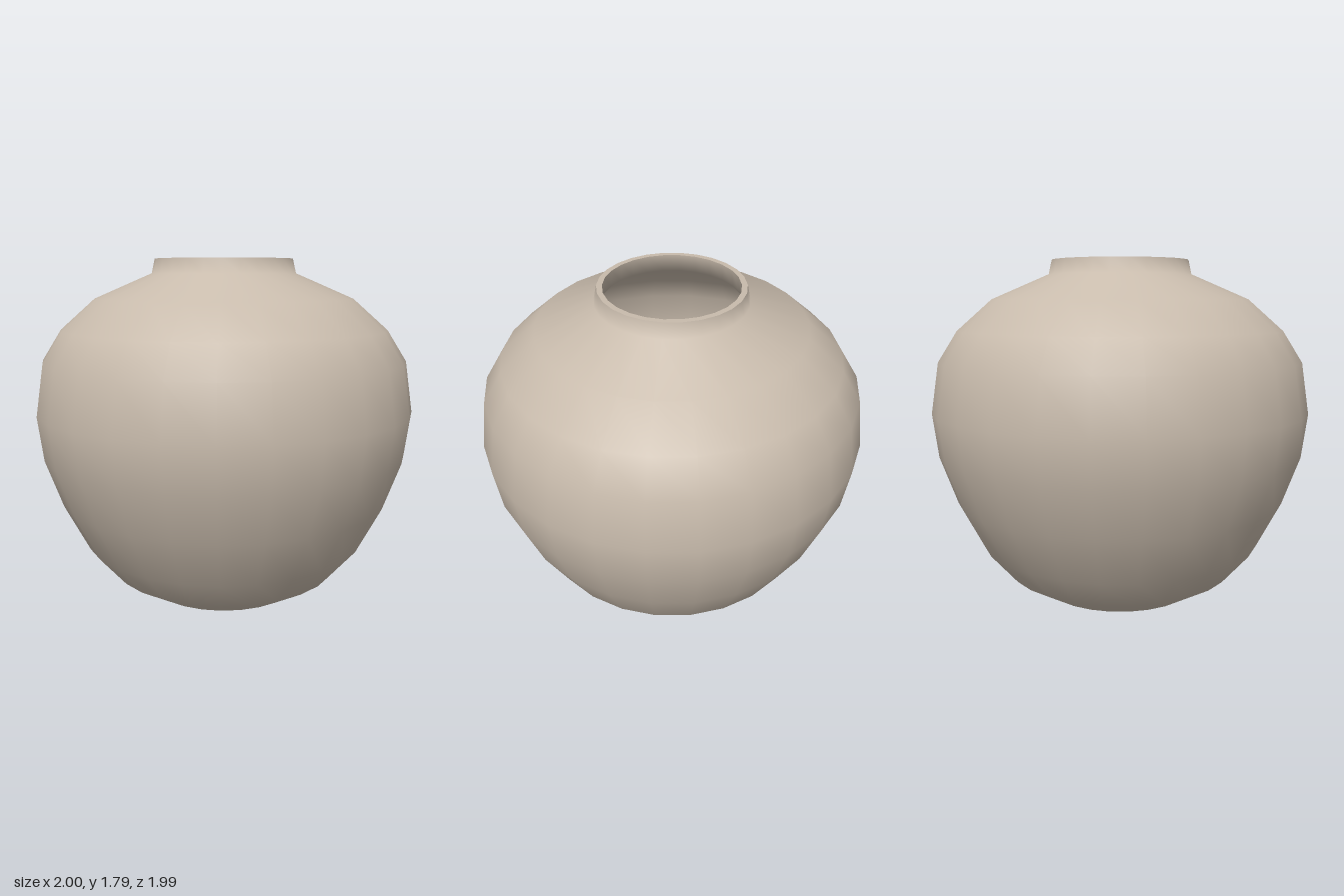
import * as THREE from 'three';

const SIDES = 26;

export function createModel() {
  const model = new THREE.Group();
  model.name = 'vase';
  const clay = new THREE.MeshStandardMaterial({ color: 0xc8bbac });
  clay.name = 'beige clay';

  // Revolves a profile around y, with a corner on the x axis
  function turn(name, profile) {
    const points = profile.map(([r, y]) => new THREE.Vector2(r, y));
    const mesh = new THREE.Mesh(new THREE.LatheGeometry(points, SIDES, Math.PI / 2), clay);
    mesh.name = name;
    model.add(mesh);
  }

  // Flat underside
  turn('base', [[0, 0], [0.42, 0]]);

  // Round belly, shoulder and short neck
  turn('outerWall', [
    [0.42, 0], [0.61, 0.11], [0.75, 0.27], [0.88, 0.52], [0.97, 0.77], [1, 1],
    [0.96, 1.265], [0.86, 1.425], [0.68, 1.585], [0.38, 1.715], [0.363, 1.79],
  ]);

  // Flat lip around the opening
  turn('rim', [[0.363, 1.79], [0.335, 1.79]]);

  // Hollow inside, from the lip down to the floor
  turn('innerWall', [
    [0.335, 1.79], [0.345, 1.7], [0.66, 1.555], [0.835, 1.4], [0.93, 1.25],
    [0.97, 1], [0.94, 0.775], [0.85, 0.535], [0.725, 0.29], [0.59, 0.135], [0.41, 0.03],
  ]);
  turn('innerFloor', [[0.41, 0.03], [0, 0.03]]);

  return model;
}
